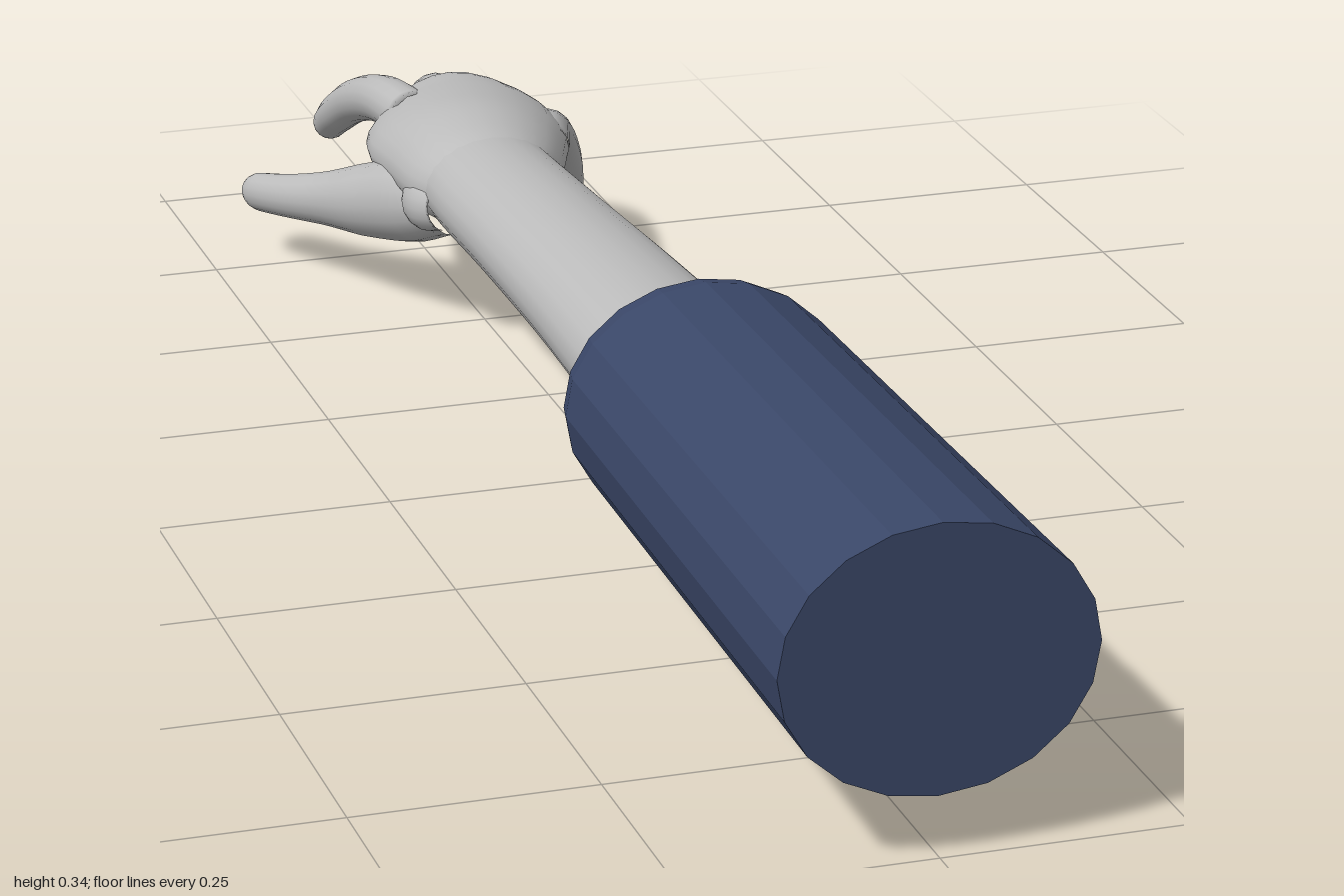
import * as THREE from 'three';

const skin = new THREE.MeshStandardMaterial({ color: 0xbcbcbc });
skin.name = 'pale grey';
const cloth = new THREE.MeshStandardMaterial({ color: 0x3a4768 });
cloth.name = 'navy';

// Smooth oval limb through rows of [x, y, z, halfWidth, halfHeight].
// tip: share of the length that rounds off; arch: drop of both side edges.
function limb(name, rows, { sides = 16, steps = 18, tip = 0, arch = 0 } = {}) {
  const path = new THREE.CatmullRomCurve3(rows.map(r => new THREE.Vector3(r[0], r[1], r[2])));
  const size = new THREE.CatmullRomCurve3(rows.map(r => new THREE.Vector3(r[3], r[4], 0)));
  const ts = [];
  for (let i = 0; i <= steps; i++) ts.push((1 - tip) * i / steps);
  if (tip) for (let k = 1; k <= 6; k++) ts.push(1 - tip + tip * Math.sin(k / 6 * Math.PI / 2));
  const pos = [], index = [];
  const up = new THREE.Vector3(0, 1, 0);
  for (const t of ts) {
    const c = path.getPoint(t), s = size.getPoint(t), T = path.getTangent(t);
    const S = T.clone().cross(up).normalize(), U = S.clone().cross(T);
    const q = tip ? Math.max(0, (t - 1 + tip) / tip) : 0;
    const round = Math.sqrt(Math.max(0.0001, 1 - q * q));
    for (let j = 0; j < sides; j++) {
      const a = j / sides * Math.PI * 2;
      const p = c.clone()
        .addScaledVector(S, s.x * round * Math.cos(a))
        .addScaledVector(U, s.y * round * Math.sin(a));
      p.y -= arch * Math.cos(a) ** 2 * t;
      pos.push(p.x, p.y, p.z);
    }
  }
  for (let i = 0; i < ts.length - 1; i++) {
    for (let j = 0; j < sides; j++) {
      const k = (j + 1) % sides;
      const a = i * sides + j, b = i * sides + k, c = a + sides, d = b + sides;
      index.push(a, c, b, b, c, d);
    }
  }
  // End caps
  const last = (ts.length - 1) * sides;
  for (let j = 1; j < sides - 1; j++) {
    index.push(0, j + 1, j, last, last + j, last + j + 1);
  }
  const g = new THREE.BufferGeometry();
  g.setAttribute('position', new THREE.Float32BufferAttribute(pos, 3));
  g.setIndex(index);
  g.computeVertexNormals();
  const mesh = new THREE.Mesh(g, skin);
  mesh.name = name;
  return mesh;
}

// Faceted oval sleeve with a hollow cuff
function makeSleeve() {
  const profile = [[0, 0.42], [0.74, 0.42], [0.77, 0.285], [0.9, 0.285], [0.935, 0.31], [1, 1], [0, 1]]
    .map(p => new THREE.Vector2(p[0], p[1]));
  const g = new THREE.LatheGeometry(profile, 20).toNonIndexed();
  g.rotateX(Math.PI / 2);
  g.scale(0.158, 0.136, 1);
  g.translate(-0.003, 0.197, 0);
  g.computeVertexNormals();
  const mesh = new THREE.Mesh(g, cloth);
  mesh.name = 'sleeve';
  return mesh;
}

export function createModel() {
  const model = new THREE.Group();
  model.name = 'arm';
  model.add(makeSleeve());

  // Forearm, narrowing to the wrist
  model.add(limb('forearm', [
    [-0.005, 0.198, 0.45, 0.102, 0.074],
    [-0.005, 0.197, 0.25, 0.099, 0.071],
    [-0.005, 0.194, 0, 0.09, 0.064],
    [-0.008, 0.187, -0.25, 0.082, 0.059],
    [-0.01, 0.182, -0.4, 0.079, 0.057],
    [-0.01, 0.181, -0.48, 0.076, 0.055],
  ], { sides: 24, steps: 24 }));

  const hand = new THREE.Group();
  hand.name = 'hand';
  model.add(hand);

  // Palm, arched across its width
  hand.add(limb('palm', [
    [-0.01, 0.183, -0.41, 0.07, 0.05],
    [-0.01, 0.185, -0.46, 0.089, 0.057],
    [0, 0.187, -0.53, 0.103, 0.057],
    [0.012, 0.185, -0.6, 0.114, 0.051],
    [0.025, 0.184, -0.67, 0.112, 0.042],
    [0.028, 0.182, -0.73, 0.094, 0.034],
    [0.025, 0.174, -0.78, 0.07, 0.02],
  ], { sides: 28, steps: 24, tip: 0.08, arch: 0.035 }));

  // Wrist fold on the thumb side
  hand.add(limb('wristFold', [
    [-0.07, 0.165, -0.42, 0.02, 0.025],
    [-0.078, 0.16, -0.45, 0.025, 0.03],
    [-0.07, 0.155, -0.5, 0.03, 0.035],
  ], { steps: 8, tip: 0.3 }));

  // Thumb with the ball of the thumb
  hand.add(limb('thumb', [
    [-0.05, 0.155, -0.46, 0.032, 0.035],
    [-0.075, 0.135, -0.54, 0.042, 0.048],
    [-0.105, 0.115, -0.61, 0.039, 0.042],
    [-0.137, 0.1, -0.67, 0.029, 0.031],
    [-0.17, 0.087, -0.73, 0.023, 0.025],
    [-0.2, 0.074, -0.8, 0.018, 0.021],
  ], { tip: 0.08 }));

  // Fingers: centre line and thickness
  const fingers = {
    indexFinger: [0.028, [[-0.032, 0.187, -0.66], [-0.043, 0.181, -0.76], [-0.05, 0.153, -0.85], [-0.053, 0.112, -0.93], [-0.049, 0.073, -1]]],
    middleFinger: [0.028, [[0.012, 0.188, -0.66], [0.02, 0.178, -0.76], [0.035, 0.133, -0.86], [0.048, 0.072, -0.94], [0.056, 0, -0.985]]],
    ringFinger: [0.027, [[0.055, 0.184, -0.64], [0.081, 0.167, -0.75], [0.108, 0.126, -0.83], [0.13, 0.078, -0.89], [0.148, 0.024, -0.945]]],
    littleFinger: [0.026, [[0.09, 0.172, -0.56], [0.123, 0.158, -0.66], [0.153, 0.124, -0.725], [0.178, 0.077, -0.775], [0.198, 0.018, -0.825]]],
  };
  const taper = [1.1, 1, 0.92, 0.84, 0.7];
  for (const [name, [r, points]] of Object.entries(fingers)) {
    hand.add(limb(name, points.map((p, i) => [...p, r * taper[i], r * taper[i]]), { tip: 0.07 }));
  }
  return model;
}
